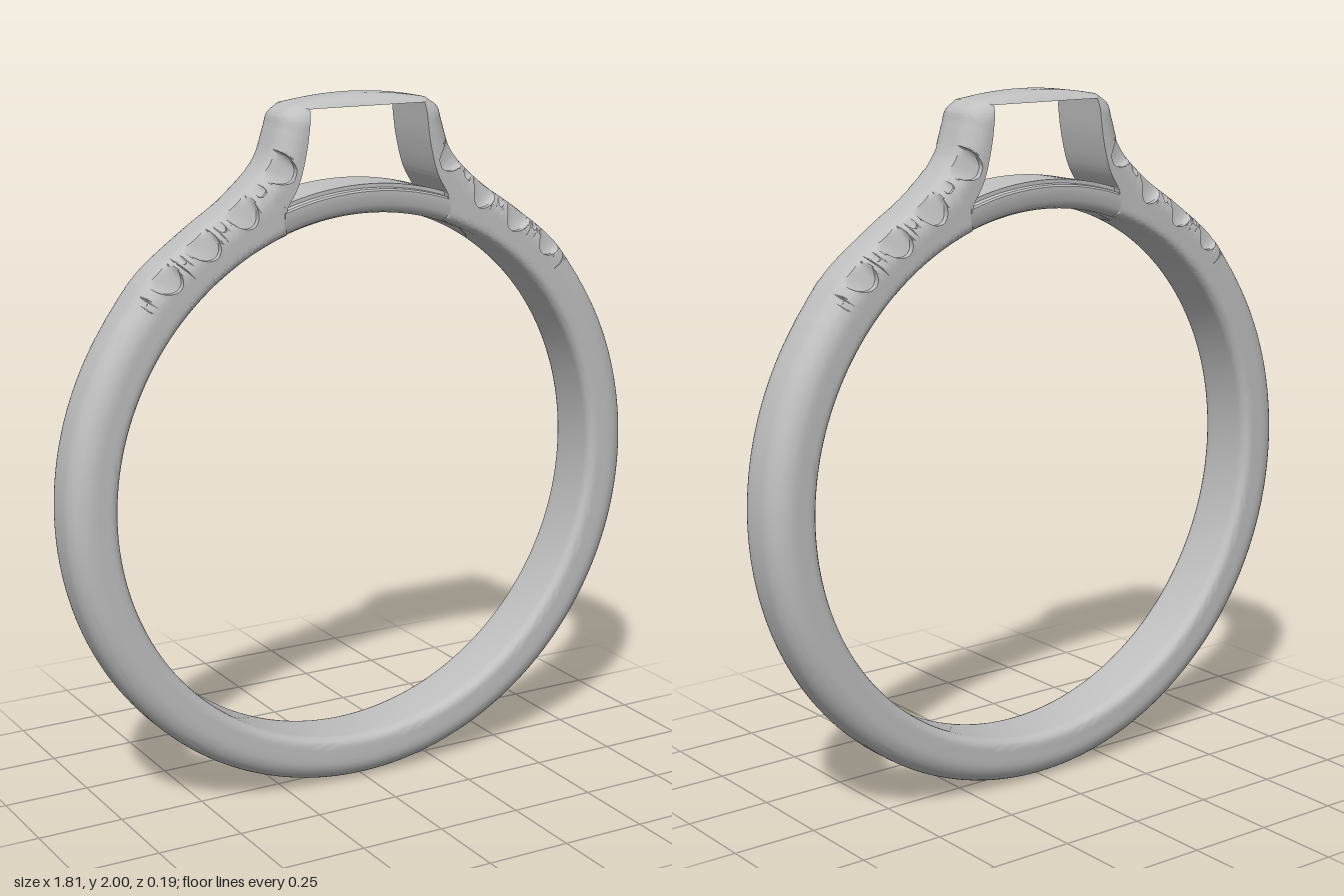
import * as THREE from 'three';
import { toCreasedNormals } from 'three/addons/utils/BufferGeometryUtils.js';

const CY = 0.905, R_OUT = 0.905, R_IN = 0.768, HALF = 0.095;
const FILLET_Z = 0.07, FILLET_D = 0.065;
const V2 = (x, y) => new THREE.Vector2(x, y);
const V3 = (x, y, z = 0) => new THREE.Vector3(x, y, z);
const curve = (pts) => new THREE.CatmullRomCurve3(pts.map(([x, y]) => V3(x, y)));

// Point on a circle around the finger hole, angle measured from the bottom
const polar = (r, a) => V2(r * Math.sin(a), CY - r * Math.cos(a));

// Skin a list of equal-length rings of points
function skin(rings, closed) {
  const n = rings[0].length, m = rings.length, index = [];
  for (let i = 0; i < (closed ? m : m - 1); i++) {
    for (let j = 0; j < n; j++) {
      const a = i * n + j, d = i * n + (j + 1) % n;
      const b = ((i + 1) % m) * n + j, c = ((i + 1) % m) * n + (j + 1) % n;
      index.push(a, b, c, a, c, d);
    }
  }
  const geo = new THREE.BufferGeometry().setFromPoints(rings.flat());
  geo.setIndex(index);
  return toCreasedNormals(geo, 0.6);
}

// Stone pockets along the shoulder: x, y, half width, depth
const POCKETS = [
  [0.292, 1.826, 0.045, 0.075], [0.4, 1.727, 0.047, 0.075],
  [0.52, 1.645, 0.047, 0.075], [0.63, 1.558, 0.045, 0.07],
  [0.345, 1.775, 0.014, 0.035], [0.46, 1.687, 0.014, 0.035],
  [0.577, 1.603, 0.013, 0.03], [0.69, 1.497, 0.012, 0.025],
];

function pocketDepth(p) {
  let depth = 0;
  for (const [x, y, w, d] of POCKETS) {
    const e = Math.hypot(p.x - x, p.y - y) / w;
    if (e < 1) depth = Math.max(depth, d * Math.sqrt(1 - e * e));
  }
  return depth;
}

// Cross-section between an outer and an inner point, rounded outside
function section(outer, inner, softInside) {
  const d = outer.distanceTo(inner);
  const cut = Math.min(pocketDepth(outer), d * 0.8);
  const split = cut || Math.min(0.03, d * 0.5);
  const width = (s) => {
    const k = Math.max(0, 1 - s / FILLET_D);
    let z = HALF - FILLET_Z + FILLET_Z * Math.sqrt(1 - k * k);
    const q = Math.max(0, 1 - (d - s) / 0.025);
    if (softInside) z -= 0.03 * (1 - Math.sqrt(Math.max(0, 1 - q * q)));
    return z;
  };
  const half = [];
  const add = (s, z) => {
    const p = outer.clone().lerp(inner, s / d);
    half.push(V3(p.x, p.y, z));
  };
  for (let i = 0; i <= 7; i++) {
    const s = split * (i / 7) ** 2;
    add(s, cut ? Math.min(width(s), 0.052 + 0.026 * s / cut) : width(s));
  }
  for (let i = 0; i <= 11; i++) {
    const s = split + (d - split) * Math.sin(i / 11 * Math.PI / 2);
    add(s, width(s));
  }
  return half.concat(half.map((p) => V3(p.x, p.y, -p.z)).reverse());
}

// Shank, shoulders and head bar as one continuous loop
function bandGeometry() {
  const start = Math.acos(-0.537 / R_OUT), end = THREE.MathUtils.degToRad(161);
  const outline = curve([[0.735, 1.435], [0.65, 1.543], [0.52, 1.645], [0.386, 1.737],
    [0.292, 1.83], [0.257, 1.92], [0.245, 1.955], [0.21, 1.98]]);
  const windowSide = curve([[0.255, 1.71], [0.22, 1.77], [0.195, 1.86], [0.18, 1.97]]);
  const rings = [];
  for (let i = 0; i < 70; i++) {
    const a = start * i / 70;
    rings.push(section(polar(R_OUT, a), polar(R_IN, a), true));
  }
  const SPLIT = 0.67;
  for (let i = 0; i <= 130; i++) {
    const t = i / 130, p = outline.getPointAt(t * SPLIT);
    rings.push(section(V2(p.x, p.y), polar(R_IN, start + (end - start) * t), true));
  }
  for (let i = 0; i <= 60; i++) {
    const t = i / 60, p = outline.getPointAt(SPLIT + (1 - SPLIT) * t);
    const q = windowSide.getPointAt(t);
    rings.push(section(V2(p.x, p.y), V2(q.x, q.y), false));
  }
  for (let i = 1; i <= 14; i++) {
    const t = 1 - i / 14;
    rings.push(section(V2(0.21 * t, 2 - 0.02 * t * t), V2(0.18 * t, 1.97), false));
  }
  // Mirror the right half, leaving out the shared bottom and top sections
  const mirrored = rings.slice(1, -1).reverse()
    .map((ring) => ring.map((p) => V3(-p.x, p.y, p.z)));
  return skin(rings.concat(mirrored), true);
}

// Stepped bridge closing the finger hole under the window
function bridgeGeometry() {
  const half = [[0.85, 0], [0.85, 0.074], [0.839, 0.074], [0.837, 0.09], [0.832, 0.094],
    [0.793, 0.094], [0.776, 0.083], [R_IN, 0.065], [R_IN, 0]];
  const profile = half.concat(half.slice(1, -1).reverse().map(([r, z]) => [r, -z]));
  const rings = [];
  for (let i = 0; i <= 32; i++) {
    const a = Math.PI + THREE.MathUtils.degToRad(-24 + 48 * i / 32);
    rings.push(profile.map(([r, z]) => {
      const p = polar(r, a);
      return V3(p.x, p.y, z);
    }));
  }
  return skin(rings, false);
}

export function createModel() {
  const metal = new THREE.MeshStandardMaterial({ color: 0xc0c0c0 });
  metal.name = 'silver metal';
  const group = new THREE.Group();
  group.name = 'ring';
  const parts = { bandAndHead: bandGeometry(), bridge: bridgeGeometry() };
  for (const [name, geometry] of Object.entries(parts)) {
    const mesh = new THREE.Mesh(geometry, metal);
    mesh.name = name;
    group.add(mesh);
  }
  return group;
}
